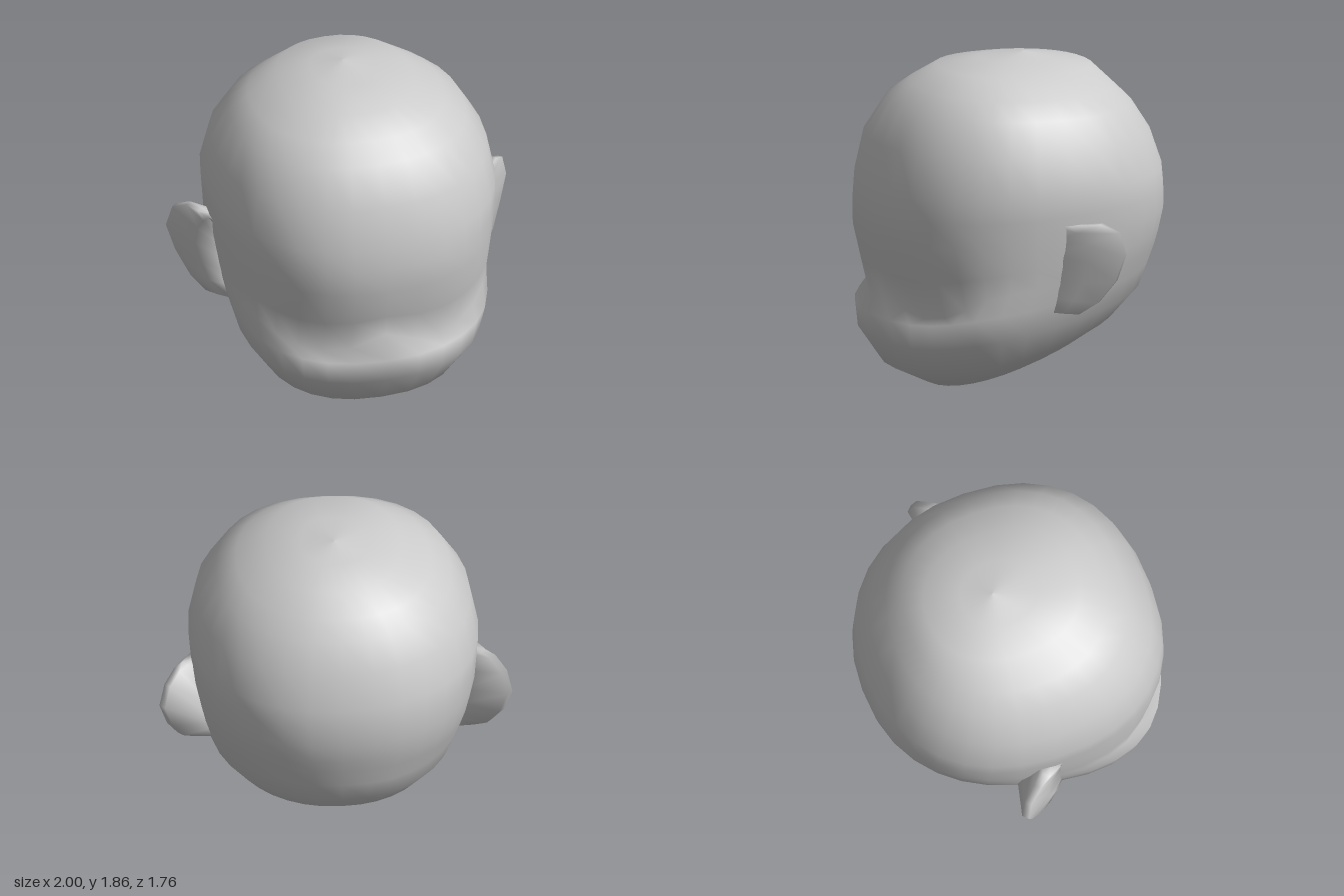
import * as THREE from 'three';

const material = new THREE.MeshStandardMaterial({ color: 0xcccccc, side: THREE.DoubleSide });

// Skins a stack of closed rings (bottom to top, each counter-clockwise from above).
function loft(rings, name) {
  const n = rings[0].length;
  const index = [];
  for (let i = 0; i < rings.length - 1; i++) {
    for (let j = 0; j < n; j++) {
      const a = i * n + j, b = i * n + (j + 1) % n;
      index.push(a, b, a + n, b, b + n, a + n);
    }
  }
  const geometry = new THREE.BufferGeometry();
  geometry.setAttribute('position', new THREE.Float32BufferAttribute(rings.flat(2), 3));
  geometry.setIndex(index);
  geometry.computeVertexNormals();
  const mesh = new THREE.Mesh(geometry, material);
  mesh.name = name;
  return mesh;
}

// Tilted head sections: front z, front y, back z, back y, half width,
// then optional taper to the back, groove depth, groove drop
const SECTIONS = [
  [0.11, 0.115, -0.22, 0.215, 0.17], // open neck
  [0.30, 0.04, -0.43, 0.25, 0.30, 0.08],
  [0.50, 0.00, -0.52, 0.30, 0.38, 0.12], // chin
  [0.71, 0.10, -0.64, 0.39, 0.57, 0.15],
  [0.83, 0.28, -0.77, 0.53, 0.685, 0.13],
  [0.88, 0.44, -0.81, 0.66, 0.73, 0.09, 0.035, 0.02], // muzzle ridge
  [0.80, 0.57, -0.84, 0.78, 0.755, 0.05, 0.05, 0.125], // groove above the muzzle
  [0.825, 0.70, -0.86, 0.86, 0.775, 0.03, 0.02, 0.04],
  [0.86, 0.88, -0.88, 0.98, 0.80],
  [0.86, 1.03, -0.875, 1.10, 0.81],
  [0.845, 1.16, -0.86, 1.22, 0.82],
  [0.79, 1.40, -0.79, 1.42, 0.775],
  [0.66, 1.61, -0.69, 1.58, 0.665],
  [0.54, 1.70, -0.60, 1.67, 0.55],
  [0.40, 1.80, -0.49, 1.78, 0.38],
  [0.15, 1.835, -0.28, 1.825, 0.19],
  [-0.10, 1.86, -0.10, 1.86, 0], // crown
];

function makeHead() {
  const sides = 32;
  const round = (v, power) => Math.sign(v) * Math.abs(v) ** power;
  const rings = SECTIONS.map(([fz, fy, bz, by, w, taper = 0, depth = 0, drop = 0]) =>
    Array.from({ length: sides }, (_, j) => {
      const a = (j / sides) * Math.PI * 2;
      // the front is a little squarer than the back
      const power = Math.cos(a) > 0 ? 0.87 : 0.9;
      const s = round(Math.sin(a), power), c = round(Math.cos(a), power);
      // the groove runs on both sides of the centre line, on the front only
      const g = c > 0 ? Math.sin(Math.PI * Math.min(1, Math.abs(s) / 0.9)) : 0;
      return [
        w * s * (1 + taper * c),
        (fy + by) / 2 + ((fy - by) / 2) * c - drop * g,
        (fz + bz) / 2 + ((fz - bz) / 2) * c - depth * g,
      ];
    }));
  return loft(rings, 'head');
}

// Ear rim from the lobe up to the top
const RIM = [
  [0.82, 0.50, -0.04], [0.89, 0.57, -0.12], [0.955, 0.70, -0.20], [1.00, 0.85, -0.235],
  [0.97, 0.98, -0.21], [0.91, 1.03, -0.13], [0.86, 1.02, -0.06],
];

function makeEar(side, name) {
  const rings = RIM.map(([x, y, z], i) => {
    const t = i / (RIM.length - 1);
    const rootX = 0.69 + 0.07 * t, rootY = 0.5 + 0.51 * t;
    return [
      [rootX, rootY, 0.09], // front root
      [(rootX + x) / 2 + 0.01, (rootY + y) / 2, (0.09 + z) / 2], // front face
      [x, y, z], // rim
      [x - 0.03, y, z - 0.03],
      [rootX, rootY, Math.min(z, -0.06) * 0.75 - 0.03], // back root
    ];
  });
  // close the lobe and the top
  rings.unshift(rings[0].map(() => [0.73, 0.495, -0.01]));
  rings.push(rings[0].map(() => [0.80, 1.015, -0.03]));
  const placed = side > 0 ? rings
    : rings.map((ring) => ring.map(([x, y, z]) => [-x, y, z]).reverse());
  return loft(placed, name);
}

export function createModel() {
  const model = new THREE.Group();
  model.name = 'headModel';
  model.add(makeHead(), makeEar(1, 'leftEar'), makeEar(-1, 'rightEar'));
  return model;
}
